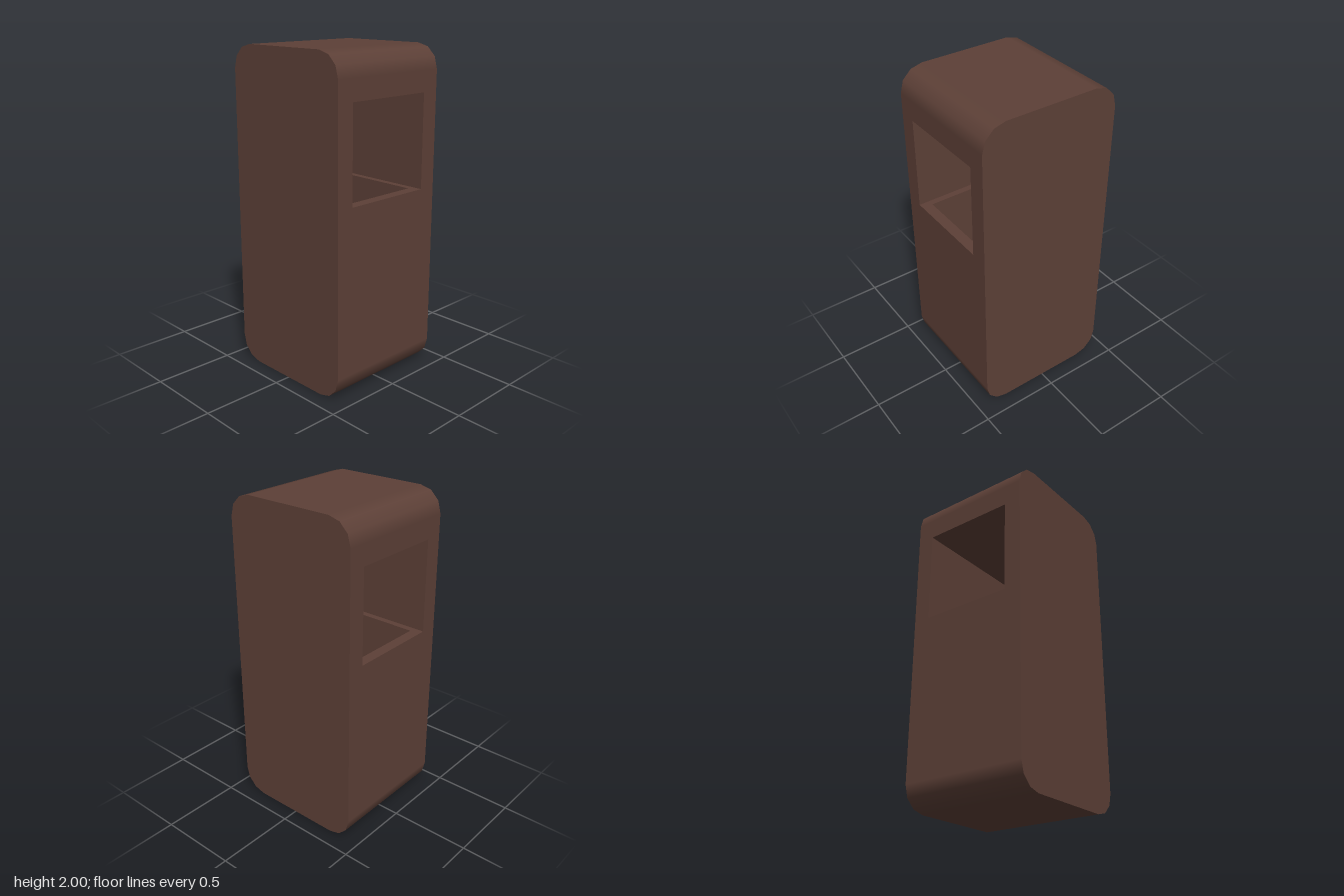
import * as THREE from 'three';

const W = 0.435, H = 2, D = 0.4, R = 0.145;        // half width, height, half depth, corner radius
const win = { z: 0.29, bottom: 1.155, top: 1.73 }; // opening through both sides
const bin = { x: 0.37, z: 0.25, bottom: 0.1 };     // hollow below the opening

const material = new THREE.MeshStandardMaterial({ color: 0x5d4037 });

// Rectangle as a point loop
const rect = (x0, y0, x1, y1) => [[x0, y0], [x1, y0], [x1, y1], [x0, y1]].map(p => new THREE.Vector2(...p));

function panelWithHole(outer, hole) {
  const shape = new THREE.Shape(outer);
  shape.holes.push(new THREE.Path(hole.reverse()));
  return new THREE.ShapeGeometry(shape);
}

// Front outline with three facets per rounded corner
function roundedOutline() {
  const points = [];
  const centres = [[W - R, H - R], [R - W, H - R], [R - W, R], [W - R, R]];
  centres.forEach(([cx, cy], k) => {
    for (let i = 0; i <= 3; i++) {
      const a = (k + i / 3) * Math.PI / 2;
      points.push(new THREE.Vector2(cx + R * Math.cos(a), cy + R * Math.sin(a)));
    }
  });
  return new THREE.Shape(points);
}

export function createModel() {
  const model = new THREE.Group();
  model.name = 'litterBin';
  const body = new THREE.Group(), opening = new THREE.Group(), hollow = new THREE.Group();
  body.name = 'body';
  opening.name = 'opening';
  hollow.name = 'hollow';
  model.add(body, opening, hollow);

  const add = (group, name, geometry, position, rotation = [0, 0, 0]) => {
    const mesh = new THREE.Mesh(geometry, material);
    mesh.name = name;
    mesh.position.set(...position);
    mesh.rotation.set(...rotation);
    group.add(mesh);
  };
  const plane = (w, h) => new THREE.PlaneGeometry(w, h);
  const q = Math.PI / 2;

  // Front and back faces
  const face = new THREE.ShapeGeometry(roundedOutline());
  add(body, 'frontFace', face, [0, 0, D]);
  add(body, 'backFace', face, [0, 0, -D], [0, Math.PI, 0]);

  // Top and bottom
  add(body, 'top', plane(2 * (W - R), 2 * D), [0, H, 0], [-q, 0, 0]);
  add(body, 'bottom', plane(2 * (W - R), 2 * D), [0, 0, 0], [q, 0, 0]);

  // Sides with the square opening
  const side = panelWithHole(rect(-D, R, D, H - R), rect(-win.z, win.bottom, win.z, win.top));
  add(body, 'leftSide', side, [W, 0, 0], [0, q, 0]);
  add(body, 'rightSide', side, [-W, 0, 0], [0, -q, 0]);

  // Rounded long edges
  [[1, R], [1, H - R], [-1, H - R], [-1, R]].forEach(([s, y], k) => {
    const edge = new THREE.CylinderGeometry(R, R, 2 * D, 3, 1, true, k * q, q);
    add(body, 'roundedEdge', edge, [s * (W - R), y, 0], [q, 0, 0]);
  });

  // Passage from side to side, its floor open to the hollow
  const wh = win.top - win.bottom, wy = (win.top + win.bottom) / 2;
  add(opening, 'openingBackWall', plane(2 * W, wh), [0, wy, -win.z]);
  add(opening, 'openingFrontWall', plane(2 * W, wh), [0, wy, win.z], [0, Math.PI, 0]);
  add(opening, 'openingCeiling', plane(2 * W, 2 * win.z), [0, win.top, 0], [q, 0, 0]);
  const rim = panelWithHole(rect(-W, -win.z, W, win.z), rect(-bin.x, -bin.z, bin.x, bin.z));
  add(opening, 'rim', rim, [0, win.bottom, 0], [-q, 0, 0]);

  // Hollow interior
  const bh = win.bottom - bin.bottom, by = (win.bottom + bin.bottom) / 2;
  for (const s of [1, -1]) {
    add(hollow, 'hollowEndWall', plane(2 * bin.x, bh), [0, by, -s * bin.z], [0, s > 0 ? 0 : Math.PI, 0]);
    add(hollow, 'hollowSideWall', plane(2 * bin.z, bh), [-s * bin.x, by, 0], [0, s * q, 0]);
  }
  add(hollow, 'hollowFloor', plane(2 * bin.x, 2 * bin.z), [0, bin.bottom, 0], [-q, 0, 0]);

  return model;
}
